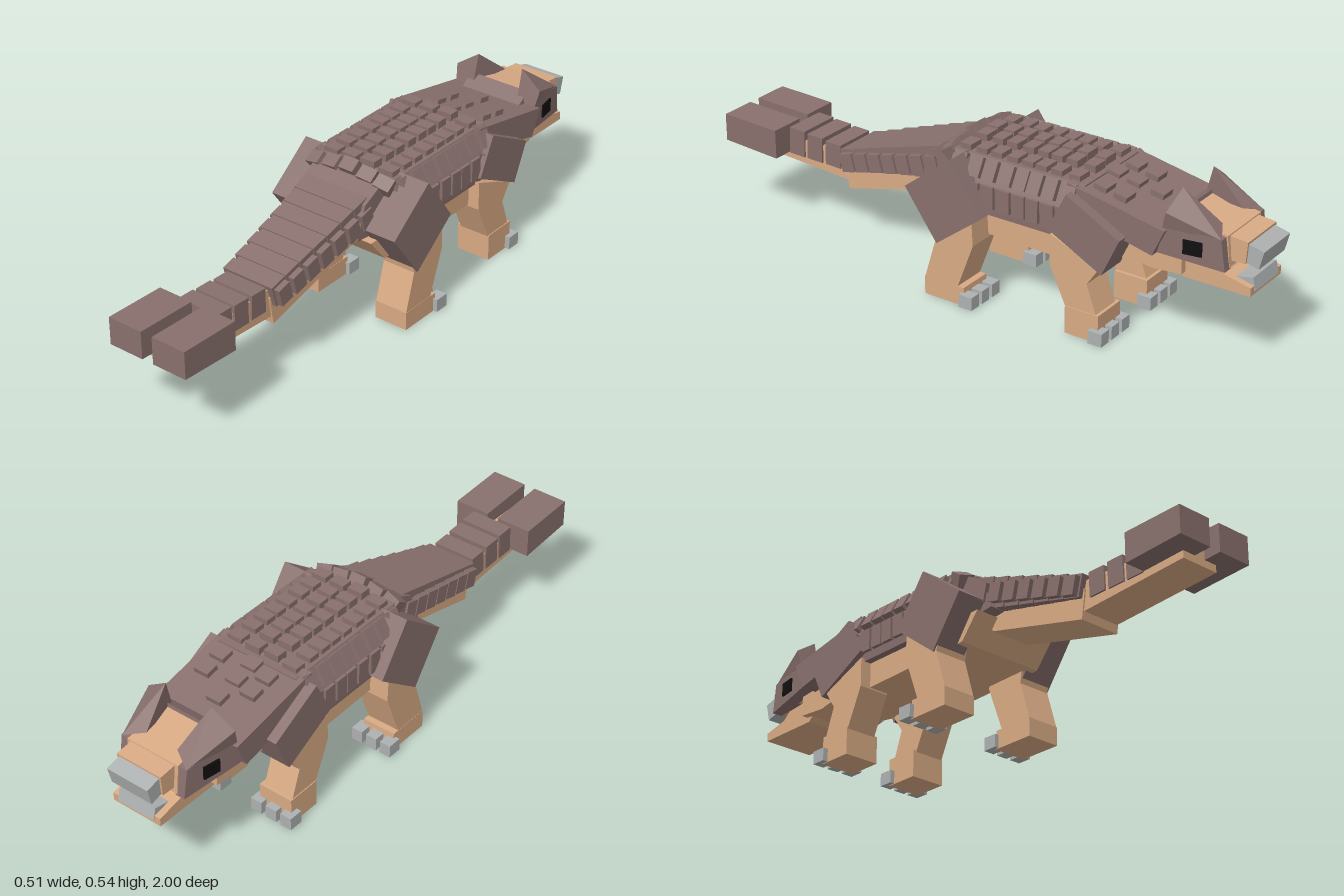
import * as THREE from 'three';
import { ConvexGeometry } from 'three/addons/geometries/ConvexGeometry.js';

const paint = (name, color) => {
  const m = new THREE.MeshStandardMaterial({ color });
  m.name = name;
  return m;
};

export function createModel() {
  const armour = paint('armour brown', 0x88706d);
  const hide = paint('hide tan', 0xd8aa84);
  const horn = paint('claw grey', 0xaeb1b1);
  const black = paint('eye black', 0x101010);
  const model = new THREE.Group();
  model.name = 'armouredDinosaur';
  const body = new THREE.Group();
  body.name = 'body';
  body.position.x = -0.009;
  model.add(body);

  const add = (parent, name, geometry, material) => {
    const mesh = new THREE.Mesh(geometry, material);
    mesh.name = name;
    parent.add(mesh);
    return mesh;
  };
  // Side outline given as [z, y], spanning xa to xb
  const prism = (parent, name, material, pts, xa, xb) => {
    const shape = new THREE.Shape(pts.map(([z, y]) => new THREE.Vector2(-z, y)));
    const g = new THREE.ExtrudeGeometry(shape, { depth: Math.abs(xb - xa), bevelEnabled: false });
    g.rotateY(Math.PI / 2);
    g.translate(Math.min(xa, xb), 0, 0);
    return add(parent, name, g, material);
  };
  const box = (parent, name, material, size, pos, rot = [0, 0, 0]) => {
    const m = add(parent, name, new THREE.BoxGeometry(...size), material);
    m.position.set(...pos);
    m.rotation.set(...rot);
    return m;
  };
  const hull = (parent, name, material, pts, s) =>
    add(parent, name, new ConvexGeometry(pts.map(([x, y, z]) => new THREE.Vector3(x * s, y, z))), material);

  // Torso: armoured shell, belly, chest and rump
  const section = [[-0.185, 0.31], [0.185, 0.31], [0.19, 0.41], [0.15, 0.485], [-0.15, 0.485], [-0.19, 0.41]];
  const shell = new THREE.ExtrudeGeometry(
    new THREE.Shape(section.map(p => new THREE.Vector2(...p))), { depth: 0.48, bevelEnabled: false });
  shell.translate(0, 0, -0.43);
  add(body, 'shell', shell, armour);
  prism(body, 'belly', hide, [[0.17, 0.32], [0.1, 0.235], [-0.1, 0.23], [-0.36, 0.225], [-0.42, 0.32]], -0.16, 0.16);
  prism(body, 'chest', hide, [[-0.34, 0.23], [-0.34, 0.4], [-0.64, 0.4], [-0.66, 0.27], [-0.6, 0.27]], -0.11, 0.11);
  prism(body, 'rump', armour, [[0.02, 0.488], [0.09, 0.475], [0.16, 0.44], [0.2, 0.33], [0, 0.31]], -0.13, 0.13);
  prism(body, 'neck', armour, [[-0.38, 0.49], [-0.72, 0.425], [-0.68, 0.335], [-0.57, 0.36], [-0.38, 0.36]], -0.172, 0.172);

  // Rows of small plates along the back
  const rows = [-0.39, -0.325, -0.27, -0.22, -0.165, -0.105, -0.05, 0.01];
  rows.forEach((z, i) => {
    [-0.11, -0.034, 0.034, 0.11].forEach((x, k) =>
      box(body, 'backPlate', armour, [0.055, 0.03, 0.04],
        [x, k % 3 ? 0.495 : 0.488, z + (k % 2 ? 0.006 : 0)], [0, 0, 0]));
    for (const s of [-1, 1]) {
      box(body, 'shoulderPlate', armour, [0.065, 0.025, 0.045], [s * 0.173, 0.455, z], [0, 0, -s * 1.05]);
      box(body, 'flankPlate', armour, [0.018, 0.075, 0.045], [s * 0.19, 0.375, z], [0, 0, 0]);
    }
  });
  for (const [z, y] of [[-0.47, 0.475], [-0.54, 0.463]])
    for (const x of [-0.075, 0, 0.105])
      box(body, 'neckPlate', armour, [0.055, 0.03, 0.045], [x, y, z - (x ? 0 : -0.02)], [-0.19, 0, 0]);
  box(body, 'neckPlate', armour, [0.055, 0.03, 0.045], [0, 0.45, -0.605], [-0.19, 0, 0]);
  for (const x of [-0.13, -0.067, 0, 0.067, 0.13])
    box(body, 'rumpPlate', armour, [0.056, 0.05, 0.045],
      [x, 0.487 - Math.abs(x) * 0.15, 0.065], [0.6, 0, -x * 2.2]);

  // Tail: tan underside and tapering overlapping armour rings
  prism(body, 'tailBase', hide, [[0.55, 0.28], [0.535, 0.183], [0.15, 0.28], [0.1, 0.36], [0.14, 0.42]], -0.075, 0.075);
  prism(body, 'tailTip', hide, [[0.94, 0.3], [0.94, 0.235], [0.54, 0.21], [0.5, 0.31]], -0.07, 0.07);
  for (let i = 0; i < 7; i++) {
    const t = i / 6, z = 0.515 - 0.36 * t, top = 0.333 + 0.115 * t, h = 0.075 + 0.03 * t, w = 0.18 + 0.055 * t;
    box(body, 'tailRing', armour, [w, h, 0.066], [0, top - h / 2, z], [0.25, 0, 0]);
    for (const s of [-1, 1])
      box(body, 'tailSidePlate', armour, [0.025, 0.062, 0.05], [s * (w / 2 + 0.008), top - h * 0.55, z], [0.25, 0, 0]);
  }
  [0.6, 0.677, 0.752].forEach((z, i) =>
    box(body, 'tailThinRing', armour, [0.152, 0.083 + i * 0.005, 0.062], [0, 0.286 + i * 0.003, z], [-0.03, 0, 0]));

  for (const s of [-1, 1]) {
    // Tail club lobe
    prism(body, 'tailClub', armour, [[1, 0.357], [1, 0.263], [0.785, 0.25], [0.785, 0.35]], s * 0.021, s * 0.146);

    // Hind leg
    const hind = new THREE.Group();
    hind.name = s > 0 ? 'leftHindLeg' : 'rightHindLeg';
    hind.position.x = -0.002;
    model.add(hind);
    prism(hind, 'thigh', armour, [[0, 0.49], [0.17, 0.36], [0.05, 0.195], [-0.12, 0.325]], s * 0.125, s * 0.243);
    prism(hind, 'shin', hide, [[0.08, 0.3], [0.06, 0.195], [0.1, 0.06], [-0.025, 0.06], [-0.085, 0.22], [-0.08, 0.31]],
      s * 0.118, s * 0.237);
    prism(hind, 'foot', hide, [[0.1, 0.065], [0.1, 0.002], [-0.055, 0.002], [-0.05, 0.065]], s * 0.117, s * 0.238);
    for (const x of [0.122, 0.178, 0.234])
      box(hind, 'toe', horn, [0.04, 0.044, 0.05], [s * x, 0.026, -0.066]);

    // Front leg
    const front = new THREE.Group();
    front.name = s > 0 ? 'leftFrontLeg' : 'rightFrontLeg';
    front.position.x = -0.008;
    model.add(front);
    prism(front, 'upperArm', armour, [[-0.4, 0.47], [-0.335, 0.34], [-0.53, 0.24], [-0.59, 0.37]], s * 0.1, s * 0.208);
    prism(front, 'forearm', hide, [[-0.34, 0.32], [-0.34, 0.22], [-0.405, 0.08], [-0.515, 0.08], [-0.475, 0.19], [-0.515, 0.25]],
      s * 0.09, s * 0.2);
    prism(front, 'foot', hide, [[-0.4, 0.095], [-0.4, 0.002], [-0.52, 0.002], [-0.52, 0.095]], s * 0.078, s * 0.203);
    for (const x of [0.083, 0.142, 0.2])
      box(front, 'toe', horn, [0.042, 0.044, 0.05], [s * x, 0.026, -0.52]);
  }

  // Head: skull, snout, jaw and beak
  const head = new THREE.Group();
  head.name = 'head';
  body.add(head);
  prism(head, 'headBack', armour, [[-0.63, 0.4], [-0.73, 0.465], [-0.75, 0.35], [-0.66, 0.34]], -0.115, 0.115);
  prism(head, 'skull', hide, [[-0.69, 0.34], [-0.72, 0.455], [-0.89, 0.43], [-0.9, 0.33]], -0.098, 0.098);
  prism(head, 'snout', hide, [[-0.85, 0.43], [-0.95, 0.42], [-0.945, 0.35], [-0.85, 0.345]], -0.085, 0.085);
  prism(head, 'upperBeak', horn, [[-0.94, 0.415], [-1, 0.4], [-0.985, 0.34], [-0.93, 0.355]], -0.078, 0.078);
  prism(head, 'throat', hide, [[-0.6, 0.36], [-0.6, 0.27], [-0.645, 0.262], [-0.75, 0.27], [-0.75, 0.34]], -0.115, 0.115);
  prism(head, 'jaw', hide, [[-0.64, 0.345], [-0.74, 0.252], [-0.97, 0.252], [-0.97, 0.28], [-0.88, 0.3], [-0.85, 0.325]],
    -0.092, 0.092);
  prism(head, 'lowerBeak', horn, [[-0.9, 0.265], [-0.9, 0.292], [-0.965, 0.305], [-0.975, 0.265]], -0.07, 0.07);
  for (const s of [-1, 1]) {
    hull(head, 'cheek', armour, [
      [0.08, 0.345, -0.69], [0.16, 0.345, -0.69], [0.08, 0.45, -0.715], [0.156, 0.45, -0.715],
      [0.09, 0.325, -0.9], [0.125, 0.325, -0.9], [0.09, 0.425, -0.885], [0.1275, 0.425, -0.885]], s);
    hull(head, 'browHorn', armour, [
      [0.088, 0.54, -0.73], [0.168, 0.485, -0.72], [0.16, 0.43, -0.705], [0.09, 0.44, -0.705],
      [0.06, 0.445, -0.85], [0.125, 0.425, -0.885]], s);
    box(head, 'eye', black, [0.008, 0.046, 0.06], [s * 0.143, 0.383, -0.8], [0, s * 0.165, 0]);
  }
  return model;
}
